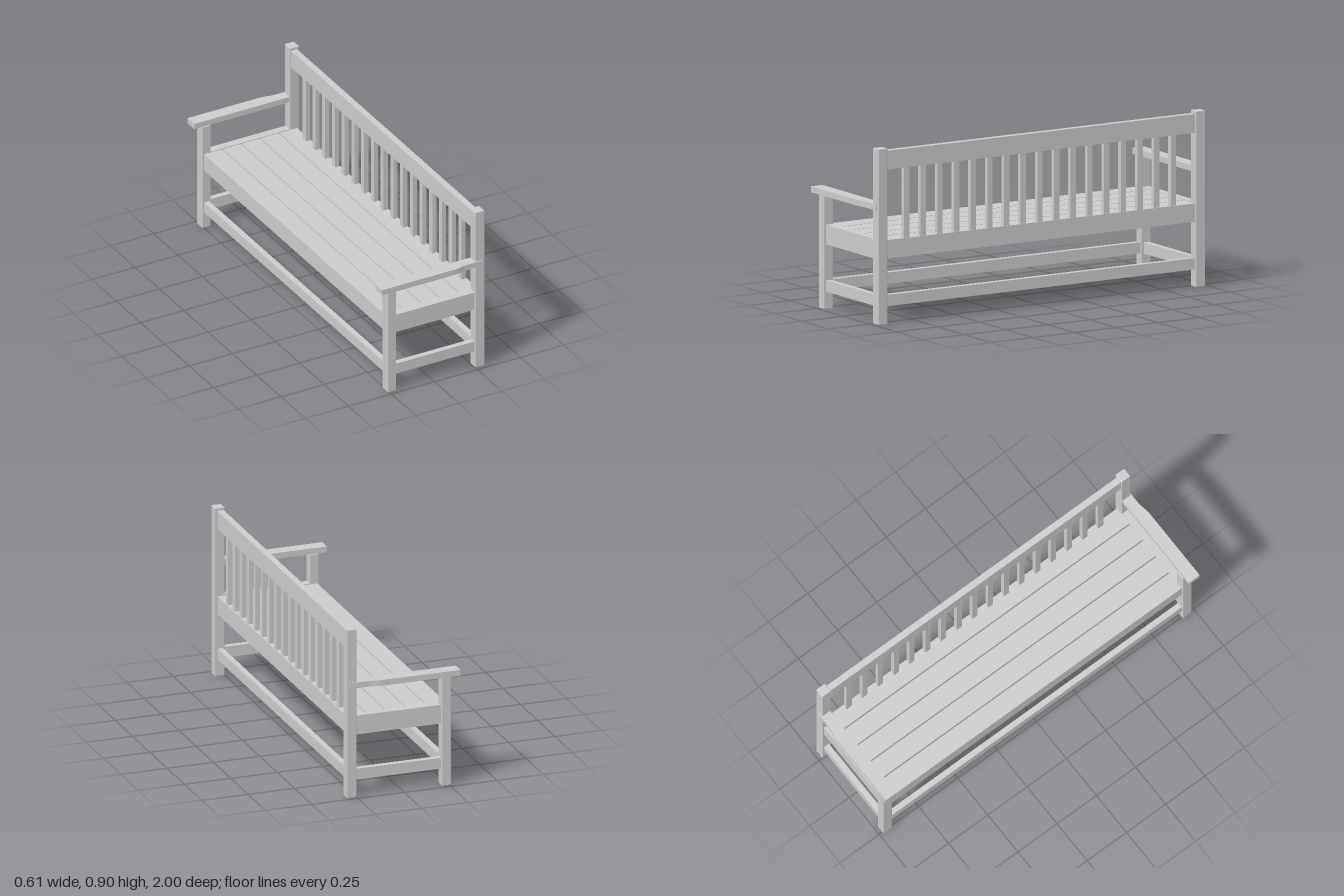
import * as THREE from 'three';
import { RoundedBoxGeometry } from 'three/addons/geometries/RoundedBoxGeometry.js';

const wood = new THREE.MeshStandardMaterial({ color: 0xcccccc, flatShading: true });

export function createModel() {
  const bench = new THREE.Group();
  bench.name = 'bench';

  function add(name, geometry) {
    const mesh = new THREE.Mesh(geometry, wood);
    mesh.name = name;
    bench.add(mesh);
    return mesh;
  }

  // A board given by its extents along each axis; bevel eases the edges
  function board(name, [x0, x1], [y0, y1], [z0, z1], bevel = 0) {
    const size = [x1 - x0, y1 - y0, z1 - z0];
    const geometry = bevel ? new RoundedBoxGeometry(...size, 1, bevel) : new THREE.BoxGeometry(...size);
    add(name, geometry).position.set((x0 + x1) / 2, (y0 + y1) / 2, (z0 + z1) / 2);
  }

  // The seat faces -x; its two ends mirror each other along z
  const frontX = [-0.26, -0.21], backX = [0.25, 0.302];
  const between = [-0.925, 0.925];

  // Armrest outline: narrows on the outside before passing the back post
  const outline = new THREE.Shape();
  outline.moveTo(-0.304, 0.93);
  outline.lineTo(0.25, 0.93);
  outline.lineTo(0.288, 0.93);
  outline.lineTo(0.288, 0.986);
  outline.lineTo(0.19, 0.987);
  outline.bezierCurveTo(0.16, 0.988, 0.15, 0.998, 0.11, 0.998);
  outline.lineTo(-0.304, 0.998);

  for (const side of [1, -1]) {
    const span = (a, b) => (side > 0 ? [a, b] : [-b, -a]);
    board('frontLeg', frontX, [0, 0.59], span(0.925, 0.98), 0.003);
    board('backPost', backX, [0, 0.905], span(0.925, 0.98), 0.003);
    board('sideApron', [-0.21, 0.25], [0.333, 0.434], span(0.925, 0.968));
    board('sideStretcher', [-0.21, 0.25], [0.09, 0.148], span(0.938, 0.968));

    const arm = new THREE.ExtrudeGeometry(outline, { depth: 0.031, bevelEnabled: false, curveSegments: 8 });
    arm.rotateX(Math.PI / 2);
    arm.translate(0, 0.62, 0);
    if (side < 0) {
      // Turn over to mirror without flipping the faces
      arm.translate(0, -0.6045, 0);
      arm.rotateX(Math.PI);
      arm.translate(0, 0.6045, 0);
    }
    add('armrest', arm);
  }

  // Long rails
  for (const [name, x] of [['front', [-0.25, -0.22]], ['back', [0.26, 0.29]]]) {
    board(name + 'Apron', x, [0.335, 0.404], between);
    board(name + 'Stretcher', x, [0.09, 0.148], between);
  }
  board('topRail', [0.256, 0.29], [0.793, 0.89], between);

  // Seat slats
  for (let i = 0; i < 5; i++) {
    const x = -0.25 + i * 0.1095;
    board('seatSlat', [x, x + 0.102], [0.404, 0.43], between);
  }

  // Back spindles
  for (let i = -8; i <= 8; i++) {
    board('backSpindle', [0.261, 0.285], [0.43, 0.793], [i * 0.1 - 0.016, i * 0.1 + 0.016]);
  }

  return bench;
}
